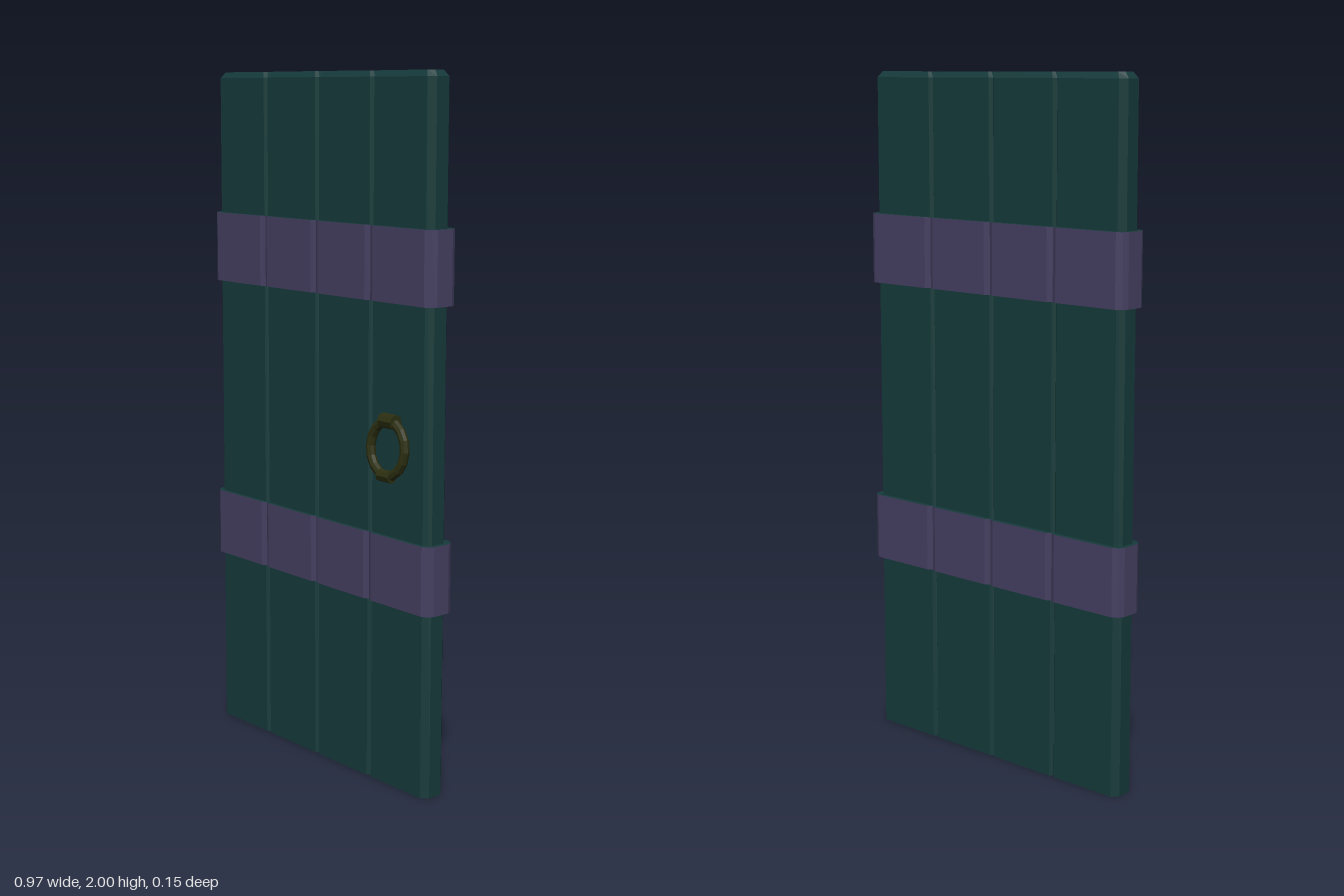
import * as THREE from 'three';

const wood = new THREE.MeshStandardMaterial({ color: 0x163a3a, flatShading: true });
const band = new THREE.MeshStandardMaterial({ color: 0x454062, flatShading: true });
const metal = new THREE.MeshStandardMaterial({ color: 0x2c2f10, flatShading: true });

const SEAMS = [-0.472, -0.235, 0, 0.235, 0.472];
const FRONT = 0.018, BACK = -0.061;

// Extrude a floor outline of [x, z] points upward
function extrudeUp(points, height, steps = 1) {
  const shape = new THREE.Shape(points.map(([x, z]) => new THREE.Vector2(x, -z)));
  return new THREE.ExtrudeGeometry(shape, { depth: height, steps, bevelEnabled: false }).rotateX(-Math.PI / 2);
}

// Plank with chamfered long edges and a chamfered top
function makePlank(x0, x1) {
  const a = x0 === SEAMS[0] ? 0.018 : 0.009;
  const b = x1 === SEAMS[4] ? 0.018 : 0.009;
  const geo = extrudeUp([
    [x0 + a, FRONT], [x1 - b, FRONT], [x1, FRONT - b], [x1, BACK + b],
    [x1 - b, BACK], [x0 + a, BACK], [x0, BACK + a], [x0, FRONT - a],
  ], 2, 2);
  const p = geo.attributes.position;
  const cx = (x0 + x1) / 2, cz = (FRONT + BACK) / 2;
  for (let i = 0; i < p.count; i++) {
    const y = p.getY(i);
    if (y > 1.5) {
      // pull the top face inward
      p.setX(i, cx + (p.getX(i) - cx) * 0.88);
      p.setZ(i, cz + (p.getZ(i) - cz) * 0.72);
    } else if (y > 0.5) p.setY(i, 1.983);
  }
  geo.computeVertexNormals();
  return new THREE.Mesh(geo, wood);
}

// Strap wrapping the whole door, dipping slightly at each seam
function makeStrap(y0, y1) {
  const w = 0.486, f = 0.029, b = -0.075, c = 0.025, n = 0.008, h = 0.016;
  const front = [[-w, f - c], [-w + 0.008, f - 0.01], [-w + c, f]];
  const back = [[-w, b + c], [-w + 0.008, b + 0.01], [-w + c, b]];
  for (const x of SEAMS.slice(1, 4)) {
    front.push([x - h, f], [x, f - n], [x + h, f]);
    back.push([x - h, b], [x, b + n], [x + h, b]);
  }
  front.push([w - c, f], [w - 0.008, f - 0.01], [w, f - c]);
  back.push([w - c, b], [w - 0.008, b + 0.01], [w, b + c]);
  const mesh = new THREE.Mesh(extrudeUp([...front, ...back.reverse()], y1 - y0), [wood, band]);
  mesh.position.y = y0;
  return mesh;
}

// Tilted ring pull with a thicker collar at top and bottom
function makeHandle() {
  const handle = new THREE.Group();
  const ring = new THREE.Mesh(new THREE.TorusGeometry(0.07, 0.0135, 8, 16), metal);
  ring.name = 'handleRing';
  ring.scale.y = 1.08;
  handle.add(ring);
  for (const [name, y, r, len] of [['topCollar', 0.076, 0.021, 0.054], ['bottomCollar', -0.076, 0.017, 0.05]]) {
    const collar = new THREE.Mesh(new THREE.CylinderGeometry(r, r, len, 8).rotateZ(Math.PI / 2), metal);
    collar.name = name;
    collar.position.y = y;
    handle.add(collar);
  }
  handle.position.set(0.346, 0.984, 0.052);
  handle.rotation.x = -0.07;
  return handle;
}

export function createModel() {
  const door = new THREE.Group();
  door.name = 'door';
  const add = (name, part) => {
    part.name = name;
    door.add(part);
  };
  for (let i = 0; i < 4; i++) add('plank' + (i + 1), makePlank(SEAMS[i], SEAMS[i + 1]));
  add('lowerStrap', makeStrap(0.53, 0.727));
  add('upperStrap', makeStrap(1.38, 1.586));
  add('ringHandle', makeHandle());
  return door;
}
